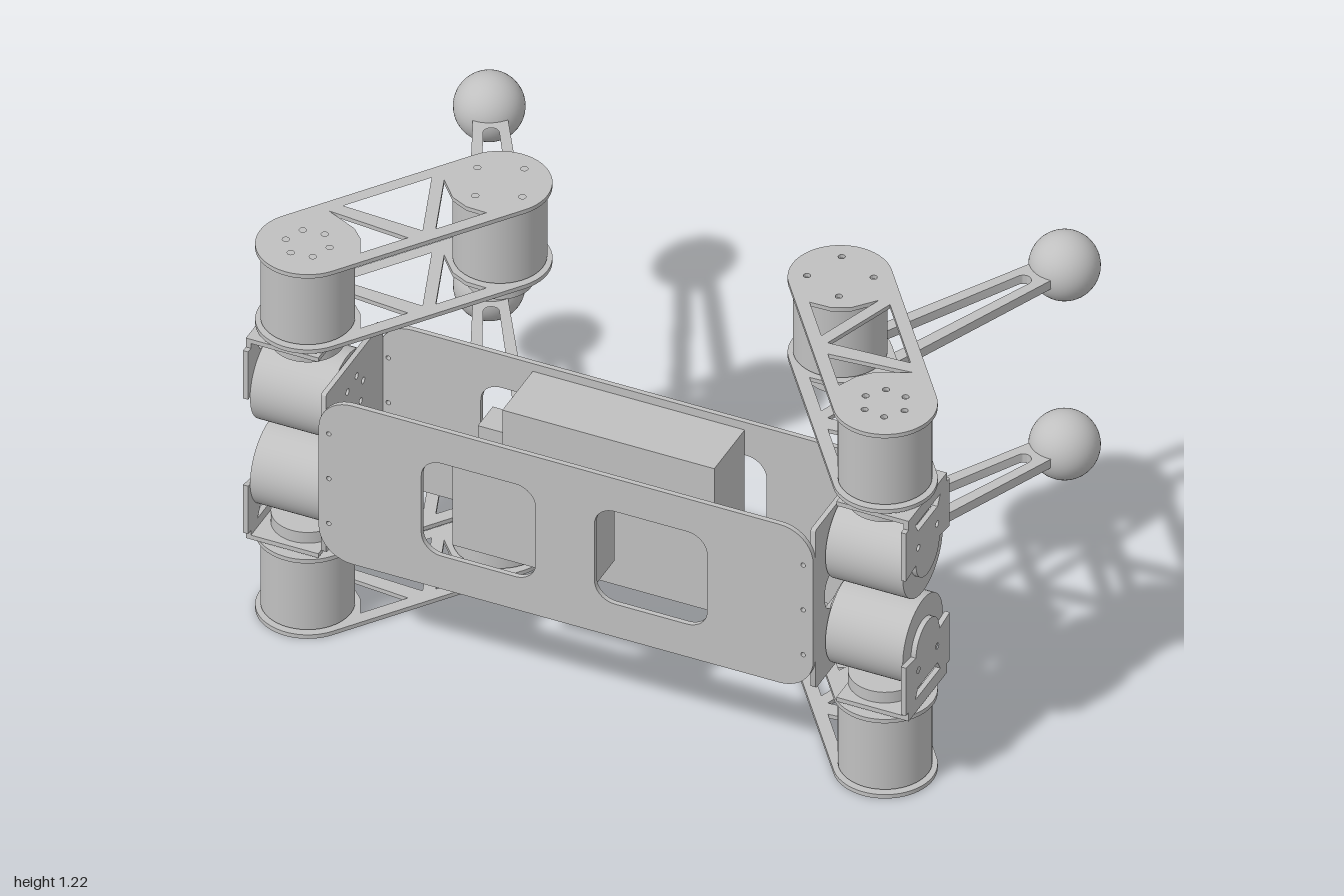
import * as THREE from 'three';
import { toCreasedNormals } from 'three/addons/utils/BufferGeometryUtils.js';

const MID = 0.61; // height of the horizontal mirror plane
const HIP = [0.858, 0.525], KNEE = [0.506, 0.055], FOOT = [0.855, -0.627]; // x, z

export function createModel() {
  const root = new THREE.Group();
  root.name = 'quadrupedRobot';
  const grey = new THREE.MeshStandardMaterial({ color: 0xc0c0c0 });
  grey.name = 'light grey';

  const add = (parent, name, geo, x = 0, y = 0, z = 0) => {
    const m = new THREE.Mesh(geo, grey);
    m.name = name;
    m.position.set(x, y, z);
    parent.add(m);
    return m;
  };
  const group = (name) => {
    const g = new THREE.Group();
    g.name = name;
    root.add(g);
    return g;
  };
  const extrude = (outline, holes, depth) => {
    const shape = new THREE.Shape(outline.map((p) => new THREE.Vector2(...p)));
    shape.holes = holes.map((h) => new THREE.Path(h.map((p) => new THREE.Vector2(...p))));
    const geo = new THREE.ExtrudeGeometry(shape, { depth, bevelEnabled: false });
    return toCreasedNormals(geo, 0.5);
  };
  const arc = (cx, cy, r, a0, a1, n) => Array.from({ length: n + 1 }, (_, i) => {
    const a = a0 + ((a1 - a0) * i) / n;
    return [cx + r * Math.cos(a), cy + r * Math.sin(a)];
  });
  const circle = (cx, cy, r, n = 12) => arc(cx, cy, r, 0, 2 * Math.PI, n).slice(0, n);
  const boltRing = (cx, cy, r, n) => Array.from({ length: n }, (_, i) => {
    const a = (i / n) * 2 * Math.PI + 0.25;
    return circle(cx + r * Math.cos(a), cy + r * Math.sin(a), 0.01);
  });
  const roundedRect = (x0, x1, y0, y1, r) => [
    ...arc(x1 - r, y1 - r, r, 0, Math.PI / 2, 10),
    ...arc(x0 + r, y1 - r, r, Math.PI / 2, Math.PI, 10),
    ...arc(x0 + r, y0 + r, r, Math.PI, 1.5 * Math.PI, 10),
    ...arc(x1 - r, y0 + r, r, 1.5 * Math.PI, 2 * Math.PI, 10),
  ];
  // outline round two circles, r0 at u = u0 and r1 at u = u1
  const taperedSlot = (u0, r0, u1, r1) => {
    const h = Math.PI / 2 - Math.asin((r0 - r1) / (u1 - u0));
    return [...arc(u1, 0, r1, -h, h, 24), ...arc(u0, 0, r0, h, 2 * Math.PI - h, 32)];
  };

  // Body: front and back plates with two windows each
  const body = group('body');
  const windows = [roundedRect(-0.43, -0.09, 0.455, 0.765, 0.06), roundedRect(0.085, 0.42, 0.455, 0.765, 0.06)];
  const screws = [];
  for (const x of [-0.705, 0.705]) for (const y of [0.46, 0.61, 0.76]) screws.push(circle(x, y, 0.007));
  for (const [name, z] of [['frontPlate', 0.705], ['backPlate', 0.325]]) {
    add(body, name, extrude(roundedRect(-0.735, 0.735, 0.345, 0.875, 0.1), [...windows, ...screws], 0.015), 0, 0, z);
  }
  // Side plates, drawn in (-z, y)
  const sideHoles = [roundedRect(-0.645, -0.43, 0.55, 0.67, 0.05)];
  for (const y of [0.47, 0.75]) sideHoles.push(...boltRing(-0.525, y, 0.06, 6));
  for (const x of [-0.735, 0.72]) {
    const geo = extrude(roundedRect(-0.705, -0.34, 0.345, 0.875, 0.01), sideHoles, 0.015);
    add(body, 'sidePlate', geo.rotateY(Math.PI / 2), x);
  }
  // Electronics between the plates
  const box = (name, x0, x1, y0, y1, z0, z1) => add(body, name,
    new THREE.BoxGeometry(x1 - x0, y1 - y0, z1 - z0), (x0 + x1) / 2, (y0 + y1) / 2, (z0 + z1) / 2);
  box('batteryPack', -0.275, 0.355, 0.37, 0.85, 0.341, 0.535);
  box('batteryConnector', -0.385, -0.275, 0.51, 0.71, 0.36, 0.455);
  box('controller', -0.355, 0.07, 0.47, 0.75, 0.56, 0.68);

  // One leg; sx picks left or right, sy upper or lower
  function leg(sx, sy) {
    const g = group((sy > 0 ? 'upper' : 'lower') + (sx > 0 ? 'Left' : 'Right') + 'Leg');
    const Y = (y) => MID + sy * (y - MID);
    // flat part in a frame running from point a to point b
    const bar = (name, a, b, outline, holes, y0, y1) => {
      const len = Math.hypot(b[0] - a[0], b[1] - a[1]);
      const d = [(b[0] - a[0]) / len, (b[1] - a[1]) / len];
      const place = ([u, v]) => [sx * (a[0] + u * d[0] - v * d[1]), a[1] + u * d[1] + v * d[0]];
      const geo = extrude(outline.map(place), holes.map((h) => h.map(place)), y1 - y0);
      add(g, name, geo.rotateX(Math.PI / 2), 0, Math.max(Y(y0), Y(y1)));
    };
    const drum = (name, [x, z], r, y0, y1) => add(g, name,
      new THREE.CylinderGeometry(r, r, y1 - y0, 48), sx * x, Y((y0 + y1) / 2), z);

    // Hip motor lying along x
    const hip = add(g, 'hipMotor', new THREE.CylinderGeometry(0.128, 0.128, 0.23, 48), sx * 0.855, Y(0.752), 0.525);
    hip.rotation.z = Math.PI / 2;
    const rim = add(g, 'hipMotorBase', new THREE.CylinderGeometry(0.115, 0.115, 0.012, 48), sx * 0.738, Y(0.752), 0.525);
    rim.rotation.z = Math.PI / 2;

    // Hip bracket: slotted plate with round tongue, drawn in (-z, y)
    const flip = (pts) => pts.map(([w, y]) => [w - 0.525, Y(y)]);
    const outline = flip([
      [0.14, 0.755], [0.14, 0.915], [0.122, 0.915], [0.122, 0.935], [-0.122, 0.935], [-0.122, 0.915],
      [-0.14, 0.915], [-0.14, 0.755], ...arc(0, 0.765, 0.075, Math.PI, 2 * Math.PI, 20),
    ]);
    const slots = [
      flip([[-0.08, 0.902], [0.08, 0.902], [0.062, 0.872], [-0.062, 0.872]]),
      flip(circle(-0.06, 0.815, 0.01)), flip(circle(0.06, 0.815, 0.01)),
    ];
    add(g, 'hipBracket', extrude(outline, slots, 0.015).rotateY(Math.PI / 2), sx > 0 ? 0.97 : -0.985);
    add(g, 'bracketShelf', new THREE.BoxGeometry(0.215, 0.014, 0.244), sx * 0.8775, Y(0.938), 0.525);
    drum('thighHub', HIP, 0.1, 0.895, 0.956);

    // Thigh: two truss plates holding the thigh and knee motors
    const L = Math.hypot(HIP[0] - KNEE[0], HIP[1] - KNEE[1]);
    // v is positive toward the body side
    const truss = [
      [[0.12, 0.103], [0.25, -0.105], [0.105, -0.105], [0.135, -0.05], [0.143, 0]],
      [[0.165, 0.105], [0.3, -0.095], [0.435, 0.105]],
      [[0.335, -0.105], [0.46, 0.08], [0.443, 0], [0.455, -0.055], [0.49, -0.105]],
    ];
    const thighHoles = [...truss, ...boltRing(0, 0, 0.062, 6), ...boltRing(L, 0, 0.09, 4)];
    const thighShape = taperedSlot(0, 0.142, L, 0.142);
    bar('thighOuterPlate', HIP, KNEE, thighShape, thighHoles, 1.207, 1.22);
    bar('thighInnerPlate', HIP, KNEE, thighShape, thighHoles, 0.955, 0.968);
    drum('thighMotor', HIP, 0.128, 0.975, 1.2);
    drum('thighMotorCore', HIP, 0.118, 0.966, 1.208);
    drum('kneeMotor', KNEE, 0.128, 0.975, 1.2);
    drum('kneeMotorCore', KNEE, 0.118, 0.966, 1.208);

    // Shank with long slot and ball foot
    const S = Math.hypot(FOOT[0] - KNEE[0], FOOT[1] - KNEE[1]);
    drum('kneeHub', KNEE, 0.08, 0.923, 0.956);
    bar('shank', KNEE, FOOT, taperedSlot(0, 0.092, S, 0.042),
      [taperedSlot(0.16, 0.045, 0.625, 0.022), ...boltRing(0, 0, 0.06, 6)], 0.895, 0.924);
    add(g, 'foot', new THREE.SphereGeometry(0.098, 40, 28), sx * FOOT[0], Y(0.91), FOOT[1]);
  }
  for (const sx of [1, -1]) for (const sy of [1, -1]) leg(sx, sy);
  return root;
}
